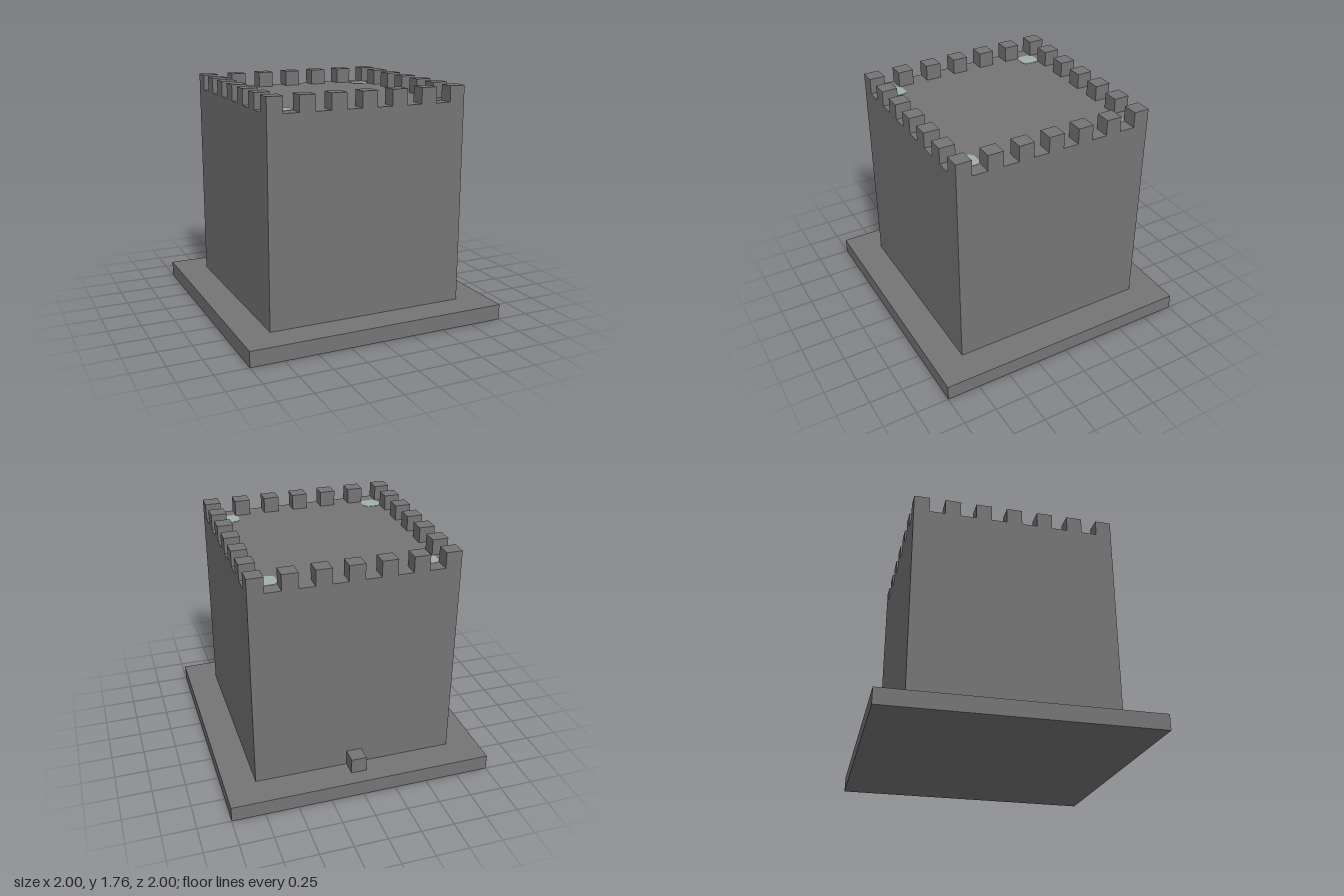
import * as THREE from 'three';

const U = 2 / 17; // one block: the whole tower sits on a 17 x 17 block grid

export function createModel() {
  const model = new THREE.Group();
  const stone = new THREE.MeshStandardMaterial({ color: 0x757575 });
  stone.name = 'stone grey';
  const pale = new THREE.MeshStandardMaterial({ color: 0xa2b1ac });
  pale.name = 'pale lamp';

  // Box sized in blocks, standing on height y
  const block = (name, w, h, d, x, y, z) => {
    const mesh = new THREE.Mesh(new THREE.BoxGeometry(w * U, h * U, d * U), stone);
    mesh.name = name;
    mesh.position.set(x * U, (y + h / 2) * U, z * U);
    model.add(mesh);
  };

  block('base', 17, 1, 17, 0, 0, 0);
  block('tower', 13, 13, 13, 0, 1, 0);
  block('backStep', 1, 1, 1, 0, 1, -7);

  // Battlements: every second block around the roof edge
  for (let x = -6; x <= 6; x += 2) {
    for (let z = -6; z <= 6; z += 2) {
      if (Math.abs(x) === 6 || Math.abs(z) === 6) block('merlon', 1, 1, 1, x, 14, z);
    }
  }

  // Rounded lamp plates set in the roof near each corner
  const h = 0.07, r = 0.042;
  const outline = new THREE.Shape();
  [[1, 1], [-1, 1], [-1, -1], [1, -1]].forEach(([sx, sy], i) => {
    outline.absarc(sx * (h - r), sy * (h - r), r, i * Math.PI / 2, (i + 1) * Math.PI / 2, false);
  });
  const plate = new THREE.ExtrudeGeometry(outline, { depth: 0.006, bevelEnabled: false, curveSegments: 5 });
  plate.rotateX(-Math.PI / 2);
  for (const sx of [-1, 1]) {
    for (const sz of [-1, 1]) {
      const lamp = new THREE.Mesh(plate, pale);
      lamp.name = 'roofLamp';
      lamp.position.set(sx * 5 * U, 14 * U - 0.003, sz * 5 * U);
      model.add(lamp);
    }
  }
  return model;
}
